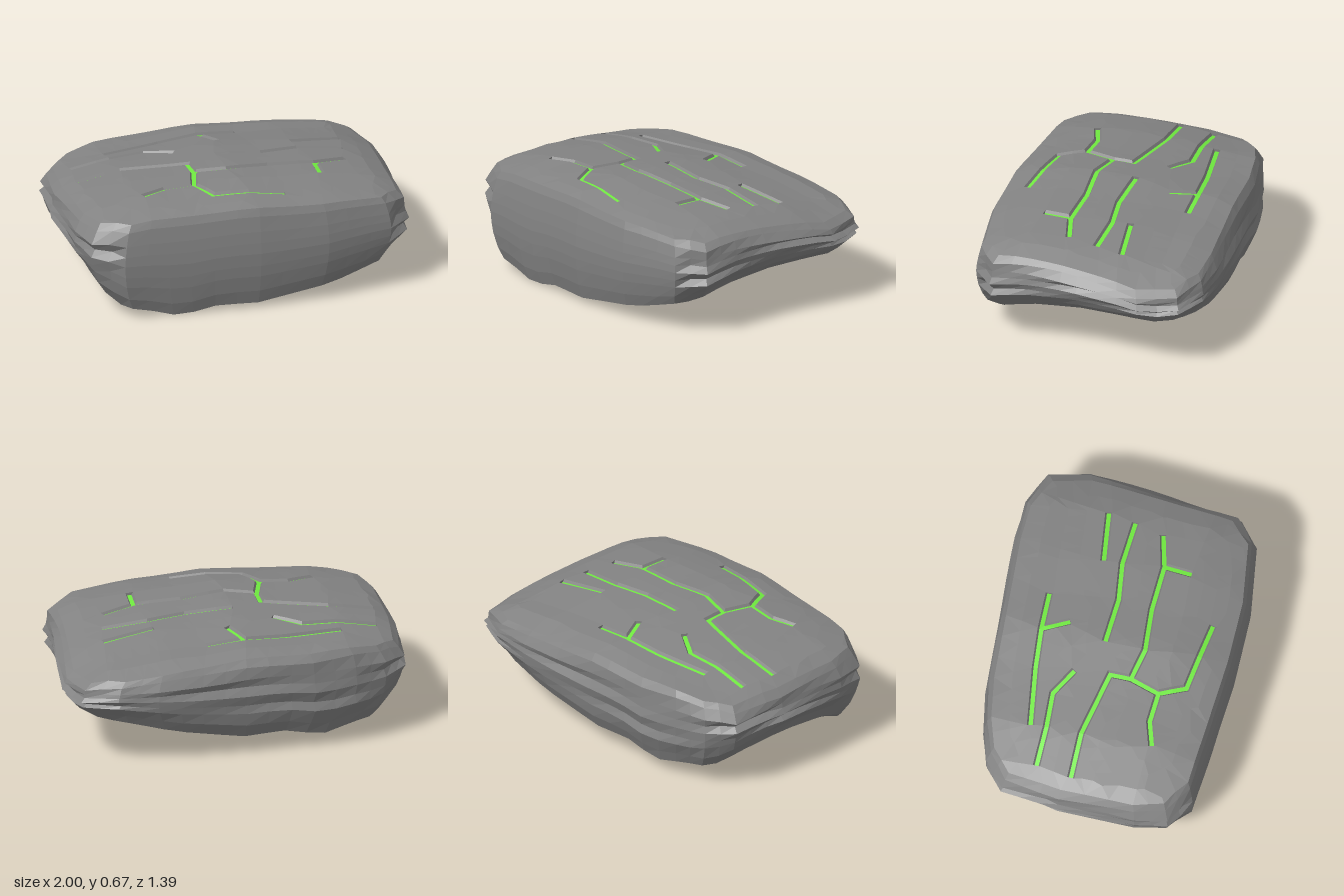
import * as THREE from 'three';

// piecewise linear lookup in [[x, y], ...]
function lookup(table, x) {
  for (let i = 1; i < table.length; i++) {
    const [x0, y0] = table[i - 1], [x1, y1] = table[i];
    if (x <= x1) return y0 + (y1 - y0) * Math.max(0, (x - x0) / (x1 - x0));
  }
  return table[table.length - 1][1];
}

// upper and lower surface profiles, along x plus a correction along z
const topX = [[-1, 0.53], [-0.95, 0.565], [-0.87, 0.61], [-0.62, 0.655], [-0.3, 0.67], [-0.03, 0.69], [0.2, 0.67], [0.43, 0.66], [0.75, 0.62], [0.9, 0.56], [1, 0.51]];
const topZ = [[-0.7, -0.12], [-0.65, -0.09], [-0.58, -0.055], [-0.4, -0.045], [-0.2, -0.015], [0.1, 0], [0.36, 0], [0.56, -0.03], [0.66, -0.06], [0.7, -0.08]];
const lowX = [[-1, 0.25], [-0.97, 0.24], [-0.87, 0.15], [-0.77, 0.08], [-0.62, 0.05], [-0.45, 0], [-0.23, 0.045], [0, 0.03], [0.4, 0.09], [0.66, 0.165], [0.9, 0.24], [1, 0.28]];
const lowZ = [[-0.7, 0.17], [-0.6, 0.1], [-0.46, 0.055], [-0.3, 0.07], [0, 0.075], [0.3, 0.05], [0.52, 0], [0.63, 0.01], [0.7, 0.05]];

const topY = (x, z) => lookup(topX, x) + lookup(topZ, z);
const lowY = (x, z) => lookup(lowX, x) + lookup(lowZ, z);

const outline = [[-1, -0.1], [-1, 0.35], [-0.95, 0.53], [-0.78, 0.635], [-0.4, 0.665], [0, 0.695], [0.4, 0.695], [0.78, 0.64], [0.92, 0.52], [0.94, 0.2], [0.96, 0], [1, -0.37], [0.94, -0.6], [0.75, -0.69], [0.52, -0.7], [0, -0.67], [-0.4, -0.65], [-0.65, -0.61], [-0.83, -0.55], [-0.96, -0.43]];

// crack trees as [x, z] points; nested lists are branches from the last point
const cracks = [
  [[-0.86, -0.05], [-0.6, -0.05], [-0.23, 0.03], [-0.23, 0.15],
    [[-0.05, 0.19], [0.2, 0.17], [0.47, 0.18], [[0.66, 0.13]], [[0.46, 0.34]]],
    [[-0.28, 0.32], [[-0.21, 0.465], [0.19, 0.525]], [[-0.45, 0.31], [-0.59, 0.355]]]],
  [[-0.61, -0.34], [-0.27, -0.39], [-0.04, -0.41], [[0.18, -0.415]], [[0.03, -0.26]]],
  [[-0.83, -0.255], [-0.6, -0.25], [-0.4, -0.26], [-0.25, -0.17]],
  [[-0.05, -0.04], [0.22, -0.025], [0.44, -0.055], [0.7, -0.04]],
  [[0.43, -0.16], [0.73, -0.2]],
];

// split the edges of a closed loop so none is longer than step
function densify(loop, step) {
  return loop.flatMap((a, i) => {
    const b = loop[(i + 1) % loop.length];
    const n = Math.ceil(Math.hypot(b[0] - a[0], b[1] - a[1]) / step);
    return Array.from({ length: n }, (_, k) => [a[0] + (b[0] - a[0]) * k / n, a[1] + (b[1] - a[1]) * k / n]);
  });
}

// walk round a crack tree, passing every branch once on each side
function tour(path) {
  const points = path.filter((p) => typeof p[0] === 'number');
  const end = points[points.length - 1];
  const walk = [...points];
  path.slice(points.length).forEach((branch) => walk.push(...tour(branch), end));
  return walk.concat(points.slice(0, -1).reverse());
}

// offset the walk sideways, with mitred bends and square tips
function offset(loop, w) {
  const dir = (a, b) => {
    const l = Math.hypot(b[0] - a[0], b[1] - a[1]);
    return [(b[0] - a[0]) / l, (b[1] - a[1]) / l];
  };
  return loop.flatMap((p, i) => {
    const d = dir(loop[(i + loop.length - 1) % loop.length], p);
    const e = dir(p, loop[(i + 1) % loop.length]);
    const dot = d[0] * e[0] + d[1] * e[1];
    if (dot < -0.99) return [[p[0] + d[1] * w, p[1] - d[0] * w], [p[0] + e[1] * w, p[1] - e[0] * w]];
    const m = w / (1 + dot);
    return [[p[0] + (d[1] + e[1]) * m, p[1] - (d[0] + e[0]) * m]];
  });
}

// swap shared edges until the triangles are well shaped
function flipEdges(pts, tris) {
  const angle = (a, c, b) => {
    const u = [pts[a][0] - pts[c][0], pts[a][1] - pts[c][1]], v = [pts[b][0] - pts[c][0], pts[b][1] - pts[c][1]];
    return Math.atan2(Math.abs(u[0] * v[1] - u[1] * v[0]), u[0] * v[0] + u[1] * v[1]);
  };
  for (let pass = 0, flips = 1; flips && pass < 40; pass++) {
    flips = 0;
    const open = new Map(), used = new Set();
    tris.forEach((t, n) => {
      for (let k = 0; k < 3; k++) {
        const a = t[k], b = t[(k + 1) % 3], c = t[(k + 2) % 3];
        const twin = open.get(b + '_' + a);
        open.set(a + '_' + b, [n, c]);
        if (!twin || used.has(n) || used.has(twin[0])) continue;
        if (angle(a, c, b) + angle(a, twin[1], b) < Math.PI + 1e-5) continue;
        tris[n] = [c, a, twin[1]];
        tris[twin[0]] = [twin[1], b, c];
        used.add(n).add(twin[0]);
        flips++;
      }
    });
  }
}

// triangulate a plan shape, split long edges and lift it to a height rule
function surface(contour, holes, height, step) {
  const vec = (loop) => loop.map((p) => new THREE.Vector2(p[0], p[1]));
  const pts = [contour, ...holes].flat();
  const first = THREE.ShapeUtils.triangulateShape(vec(contour), holes.map(vec));
  flipEdges(pts, first);
  const tris = [], middles = new Map();
  const split = (t) => {
    const len = t.map((p, k) => Math.hypot(pts[p][0] - pts[t[(k + 1) % 3]][0], pts[p][1] - pts[t[(k + 1) % 3]][1]));
    const k = len.indexOf(Math.max(...len));
    if (len[k] <= step) return tris.push(t);
    const a = t[k], b = t[(k + 1) % 3], c = t[(k + 2) % 3];
    const key = Math.min(a, b) + '_' + Math.max(a, b);
    if (!middles.has(key)) middles.set(key, pts.push([(pts[a][0] + pts[b][0]) / 2, (pts[a][1] + pts[b][1]) / 2]) - 1);
    split([a, middles.get(key), c]);
    return split([middles.get(key), b, c]);
  };
  first.forEach(split);
  flipEdges(pts, tris);
  return toGeometry(tris.flatMap(([a, b, c]) => {
    const [p, q, r] = [pts[a], pts[b], pts[c]];
    const area = (q[0] - p[0]) * (r[1] - p[1]) - (q[1] - p[1]) * (r[0] - p[0]);
    return (area > 0 ? [p, r, q] : [p, q, r]).flatMap(([x, z]) => [x, height(x, z), z]);
  }));
}

// join neighbouring loops of [x, y, z] points, listed from top to bottom
function skin(rings) {
  const out = [];
  for (let r = 1; r < rings.length; r++) {
    const up = rings[r - 1], low = rings[r];
    for (let i = 0; i < up.length; i++) {
      const j = (i + 1) % up.length;
      out.push(...low[i], ...low[j], ...up[j], ...low[i], ...up[j], ...up[i]);
    }
  }
  return toGeometry(out);
}

function toGeometry(positions) {
  const g = new THREE.BufferGeometry();
  g.setAttribute('position', new THREE.Float32BufferAttribute(positions, 3));
  g.computeVertexNormals();
  return g;
}

export function createModel() {
  const group = new THREE.Group();
  const rock = new THREE.MeshStandardMaterial({ color: 0x838383, flatShading: true });
  const green = new THREE.MeshStandardMaterial({ color: 0x70ea40, flatShading: true });
  const add = (name, geometry, material) => {
    const mesh = new THREE.Mesh(geometry, material);
    mesh.name = name;
    group.add(mesh);
  };
  const floorY = (x, z) => topY(x, z) - 0.015;
  const edge = densify(outline, 0.15);

  // sides and underside: [height share, plan scale of layered sides, of smooth front]
  const levels = [[1, 0.93, 0.94], [0.93, 0.965, 0.965], [0.78, 0.985, 0.985], [0.66, 0.975, 0.995], [0.54, 1, 1], [0.4, 0.975, 0.995], [0.28, 0.98, 0.985], [0.12, 0.94, 0.96], [0, 0.89, 0.925], [0, 0.7, 0.7], [0, 0.45, 0.45], [0, 0.2, 0.2], [0, 0, 0]];
  const rings = levels.map(([f, side, front], r) => edge.map(([ex, ez], i) => {
    const ledge = r > 0 && f > 0 ? 0.01 * Math.sin(i * 0.6 + r * 2.3) : 0;
    const s = ez > 0.6 ? front : Math.min(1, side + ledge);
    const x = ex * s, z = ez * s;
    return [x, lowY(x, z) + (topY(x, z) - lowY(x, z)) * f, z];
  }));
  add('rockSides', skin(rings), rock);

  // top surface with the grooves cut out
  const walks = cracks.map((c) => densify(tour(c).slice(0, -1), 0.11));
  const rims = walks.map((w) => offset(w, 0.021));
  add('rockTop', surface(rings[0].map(([x, , z]) => [x, z]), rims, topY, 0.16), rock);

  // sloping groove walls and coloured floors
  walks.forEach((walk, i) => {
    const floor = offset(walk, 0.012);
    const rim = rims[i].map(([x, z]) => [x, topY(x, z), z]);
    const foot = floor.map(([x, z]) => [x, floorY(x, z), z]);
    add('grooveWall' + (i + 1), skin([foot, rim].reverse()), rock);
    add('crackFloor' + (i + 1), surface(floor, [], floorY, 0.16), green);
  });

  // rest on the ground
  group.position.y = -new THREE.Box3().setFromObject(group).min.y;
  return group;
}
